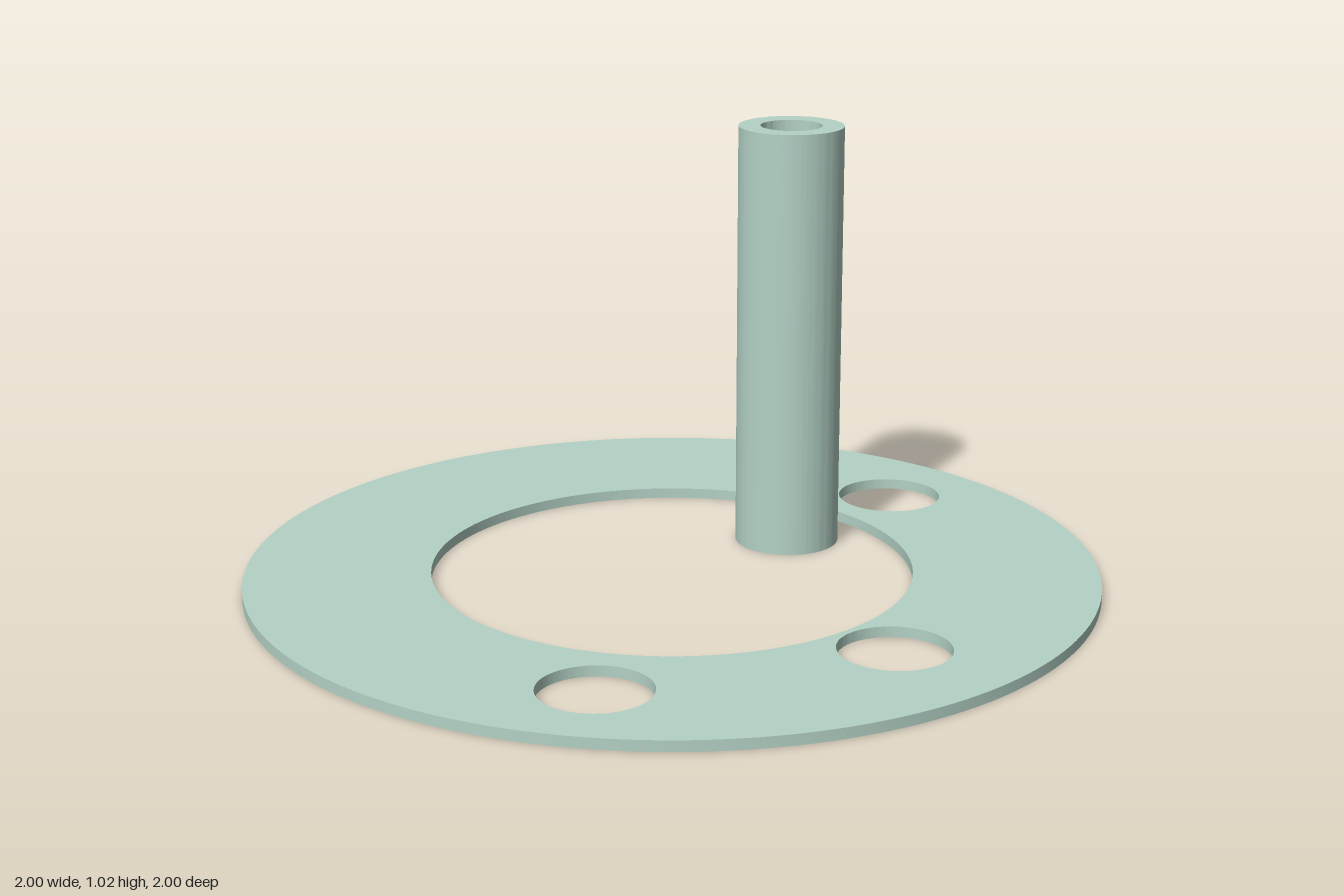
import * as THREE from 'three';
import { toCreasedNormals } from 'three/addons/utils/BufferGeometryUtils.js';

const material = new THREE.MeshStandardMaterial({ color: 0xb4d2c6 });

// Upright round plate standing on y = 0, with round holes [x, z, radius].
function roundPart(name, radius, height, holes) {
  const shape = new THREE.Shape().absarc(0, 0, radius, 0, Math.PI * 2, false);
  for (const [x, z, r] of holes) {
    shape.holes.push(new THREE.Path().absarc(x, -z, r, 0, Math.PI * 2, true));
  }
  const geometry = new THREE.ExtrudeGeometry(shape, {
    depth: height, bevelEnabled: false, curveSegments: 96,
  });
  geometry.rotateX(-Math.PI / 2);
  const mesh = new THREE.Mesh(toCreasedNormals(geometry, 0.5), material);
  mesh.name = name;
  return mesh;
}

export function createModel() {
  const group = new THREE.Group();
  group.name = 'ringAndTube';

  // Thin flat ring with a large opening and three round holes
  const ring = roundPart('ringPlate', 1, 0.025, [
    [0, 0, 0.565],
    [0, -0.754, 0.127],
    [0.708, 0, 0.127],
    [0.436, 0.622, 0.127],
  ]);

  // Hollow tube standing free inside the opening, near the back
  const tube = roundPart('tube', 0.125, 1.025, [[0, 0, 0.073]]);
  tube.position.z = -0.383;

  group.add(ring, tube);
  return group;
}
